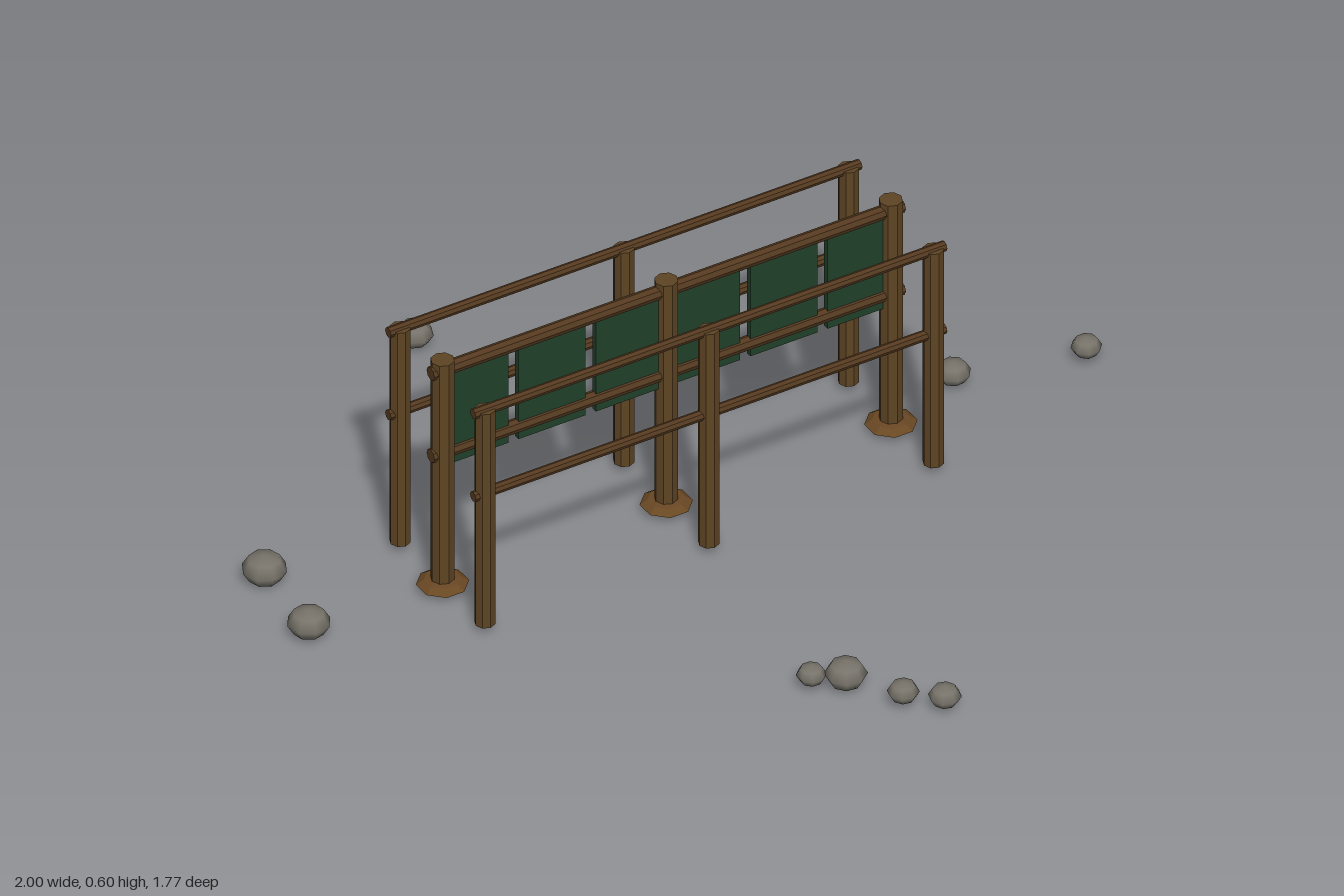
import * as THREE from 'three';

export function createModel() {
  const model = new THREE.Group();
  const mat = (name, color, flatShading) => {
    const m = new THREE.MeshStandardMaterial({ color, flatShading });
    m.name = name;
    return m;
  };
  const postWood = mat('post wood', 0x5e4424, true);
  const railWood = mat('rail wood', 0x553a20, true);
  const baseWood = mat('footing brown', 0x694723, true);
  const panelGreen = mat('panel green', 0x21402a, true);
  const stoneGrey = mat('stone grey', 0x77736a, false);

  const add = (name, geometry, material, x, y, z) => {
    const mesh = new THREE.Mesh(geometry, material);
    mesh.name = name;
    mesh.position.set(x, y, z);
    model.add(mesh);
    return mesh;
  };

  const MID = -0.07, MAIN_Z = -0.072, GROUND = 0.018;
  const postXs = [MID - 0.553, MID, MID + 0.555];

  // One fence row: three posts joined by horizontal rails
  const fence = (name, z, top, postR, railR, railYs) => {
    for (const x of postXs) {
      const post = new THREE.CylinderGeometry(postR, postR, top - GROUND, 8);
      add(name + 'Post', post, postWood, x, (top + GROUND) / 2, z);
    }
    for (const y of railYs) {
      const rail = new THREE.CylinderGeometry(railR, railR, 1.165, 8);
      rail.rotateZ(Math.PI / 2);
      add(name + 'Rail', rail, railWood, MID, y, z);
    }
  };
  fence('main', MAIN_Z, 0.596, 0.026, 0.016, [0.57, 0.356]);
  fence('front', 0.1, 0.574, 0.023, 0.012, [0.571, 0.356]);
  fence('back', -0.244, 0.574, 0.023, 0.012, [0.571, 0.356]);

  // Flattened footings under the main posts
  for (const x of postXs) {
    const footing = new THREE.SphereGeometry(0.057, 8, 4);
    footing.scale(1, 0.28, 1);
    footing.rotateY(Math.PI / 8);
    add('footing', footing, baseWood, x, 0.016, MAIN_Z);
  }

  // Six hanging panels with gaps between
  for (let i = 0; i < 6; i++) {
    add('panel', new THREE.BoxGeometry(0.166, 0.246, 0.014), panelGreen,
      MID + (i - 2.5) * 0.191, 0.447, MAIN_Z);
  }

  // Scattered stones: x, z, radius
  const stones = [
    [-0.22, -0.845, 0.041], [-0.932, -0.287, 0.05], [-0.953, -0.073, 0.048],
    [0.677, -0.135, 0.039], [0.965, -0.067, 0.034], [-0.146, 0.64, 0.033],
    [-0.082, 0.675, 0.047], [-0.012, 0.793, 0.035], [0.055, 0.852, 0.036],
  ];
  stones.forEach(([x, z, r], i) => {
    const stone = new THREE.SphereGeometry(r, 8, 4);
    stone.scale(1, 0.7, 1);
    add('stone', stone, stoneGrey, x, 0.037, z).rotation.y = i * 0.7;
  });

  return model;
}
